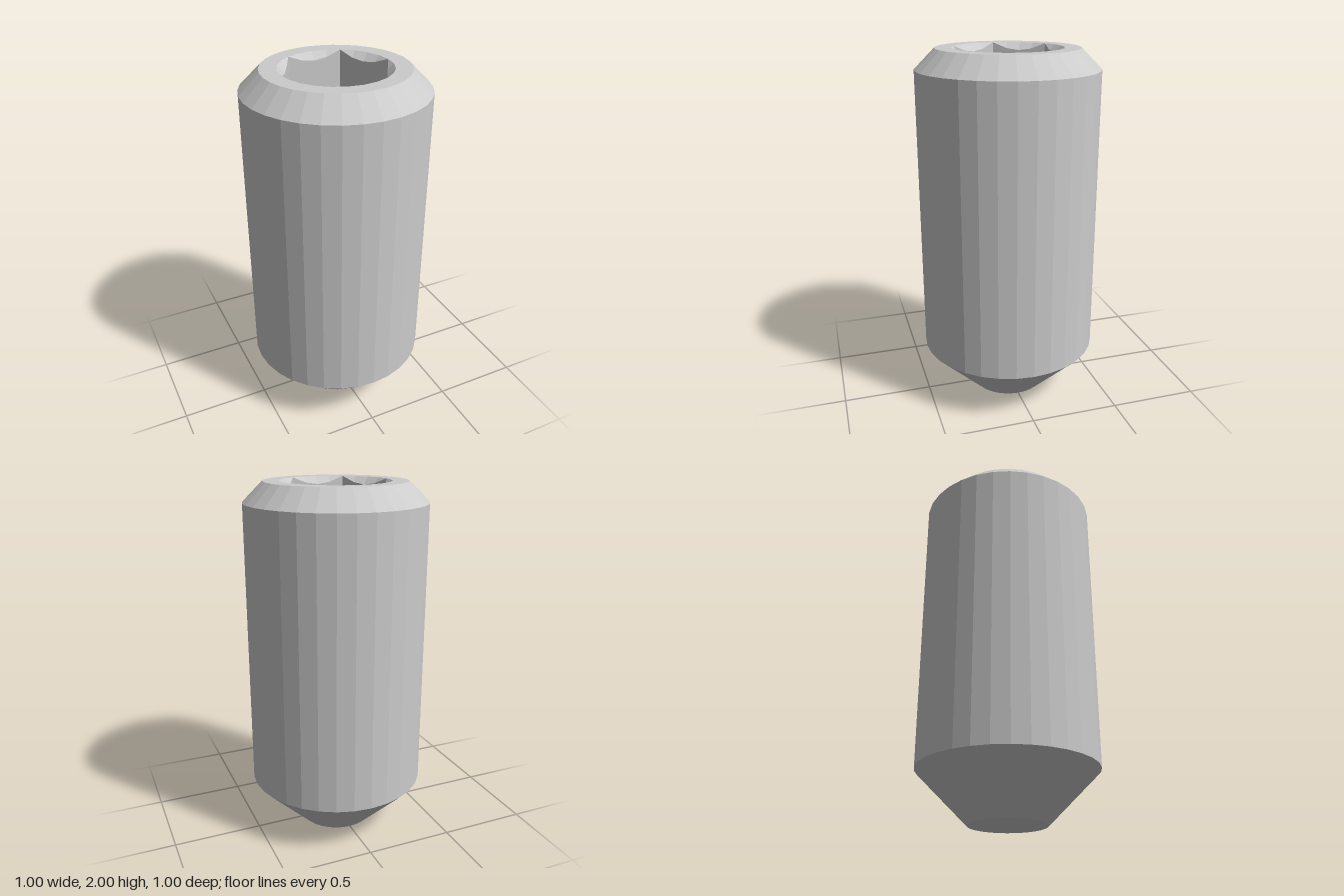
import * as THREE from 'three';

const SIDES = 32;        // facets of the body
const RIM_SIDES = 24;    // facets of the socket opening
const TOP = 2, FLOOR = 1.4;
const RIM_R = 0.39, SOCKET_R = 0.3;

const polygon = (r, n) => Array.from({ length: n }, (_, i) => {
  const a = (i / n) * Math.PI * 2;
  return new THREE.Vector2(r * Math.cos(a), r * Math.sin(a));
});

// Hex walls whose upper edge is scalloped by a 45 degree countersink
function socketGeometry() {
  const apothem = SOCKET_R * Math.cos(Math.PI / 6);
  const perFlat = RIM_SIDES / 6;
  const column = (i) => {
    const a = (i / RIM_SIDES) * Math.PI * 2;
    const offMid = ((i % perFlat) / perFlat - 0.5) * (Math.PI / 3);
    const r = apothem / Math.cos(offMid);
    const at = (radius, y) => [radius * Math.cos(a), y, radius * Math.sin(a)];
    return [at(SOCKET_R, TOP), at(r, TOP - (SOCKET_R - r)), at(r, FLOOR)];
  };
  const positions = [];
  const tri = (...corners) => corners.forEach((c) => positions.push(...c));
  for (let i = 0; i < RIM_SIDES; i++) {
    const [t0, m0, b0] = column(i);
    const [t1, m1, b1] = column(i + 1);
    // countersink closes to a point at every hex corner
    if (i % perFlat !== 0) tri(t0, m0, t1);
    if ((i + 1) % perFlat !== 0) tri(t1, m0, m1);
    // wall
    tri(m0, b0, m1);
    tri(m1, b0, b1);
  }
  const geometry = new THREE.BufferGeometry();
  geometry.setAttribute('position', new THREE.Float32BufferAttribute(positions, 3));
  geometry.computeVertexNormals();
  return geometry;
}

export function createModel() {
  const group = new THREE.Group();
  group.name = 'setScrew';
  const material = new THREE.MeshStandardMaterial({ color: 0xcccccc, flatShading: true });
  const add = (name, geometry) => {
    const mesh = new THREE.Mesh(geometry, material);
    mesh.name = name;
    group.add(mesh);
    return mesh;
  };

  // Hollow cup point, tapered tip, shank and top chamfer
  const profile = [[0, 0.12], [0.214, 0], [0.5, 0.286], [0.5, 1.89], [RIM_R, TOP]];
  add('body', new THREE.LatheGeometry(profile.map(([r, y]) => new THREE.Vector2(r, y)), SIDES));

  // Flat ring around the socket
  const ring = new THREE.Shape(polygon(RIM_R, SIDES));
  ring.holes.push(new THREE.Path(polygon(SOCKET_R, RIM_SIDES)));
  add('topRing', new THREE.ShapeGeometry(ring).rotateX(-Math.PI / 2)).position.y = TOP;

  // Hex socket
  add('socketWalls', socketGeometry());
  add('socketFloor', new THREE.CircleGeometry(SOCKET_R, 6).rotateX(-Math.PI / 2)).position.y = FLOOR;

  return group;
}
